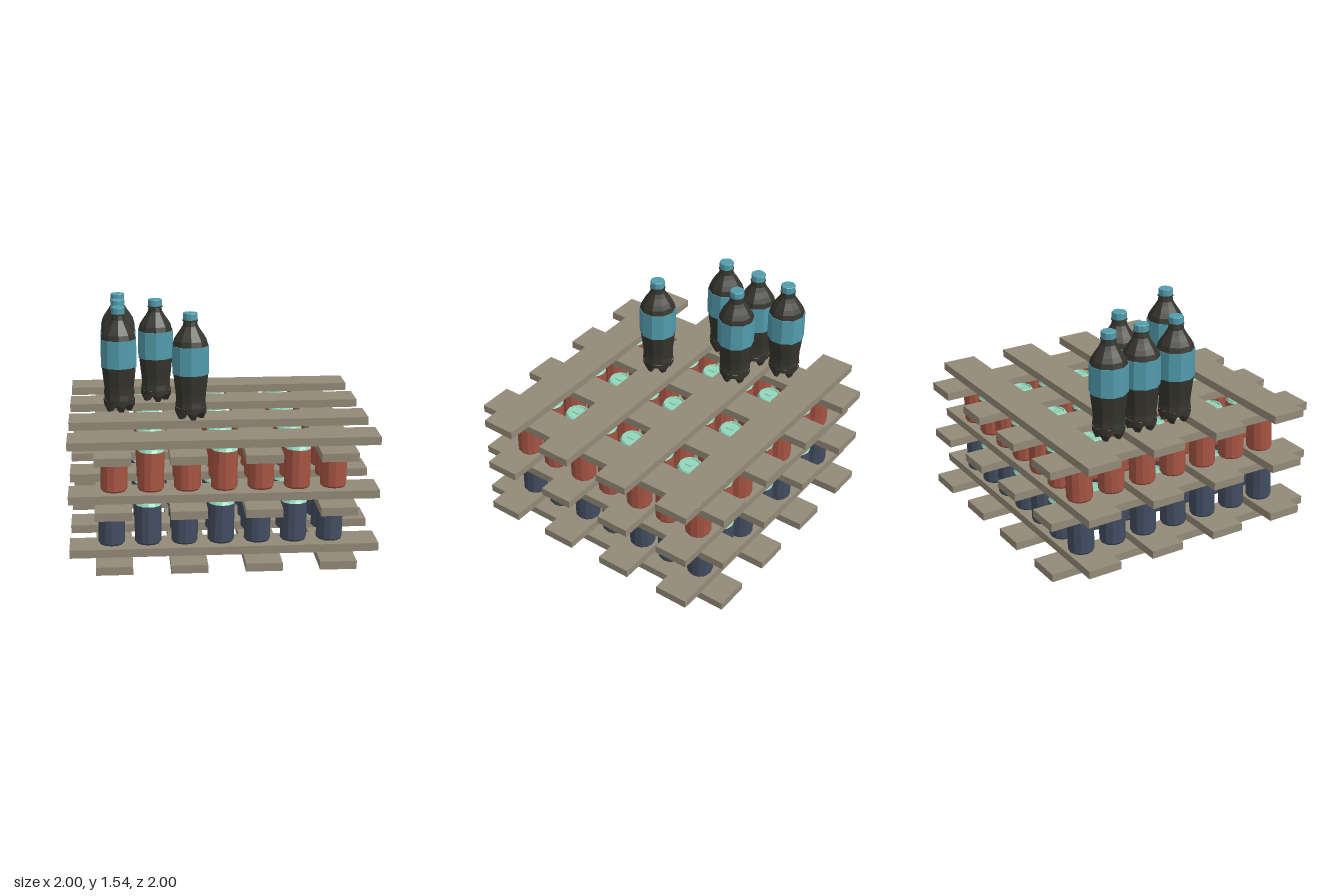
import * as THREE from 'three';

const mat = (name, color) => {
  const m = new THREE.MeshStandardMaterial({ color, flatShading: true });
  m.name = name;
  return m;
};

const lathe = (pts, sides) =>
  new THREE.LatheGeometry(pts.map(([r, y]) => new THREE.Vector2(r, y)), sides);

export function createModel() {
  const wood = mat('wood', 0x938a78);
  const redCan = mat('red can', 0xa65442);
  const blueCan = mat('blue can', 0x424d60);
  const mint = mat('mint lid', 0x90d5ba);
  const dark = mat('dark bottle', 0x35342d);
  const teal = mat('teal label and cap', 0x529cad);

  const add = (parent, name, geo, material, x = 0, y = 0, z = 0) => {
    const m = new THREE.Mesh(geo, material);
    m.name = name;
    m.position.set(x, y, z);
    parent.add(m);
    return m;
  };
  const group = (parent, name) => {
    const g = new THREE.Group();
    g.name = name;
    parent.add(g);
    return g;
  };

  const model = new THREE.Group();
  model.name = 'stackedPallets';

  // Pallets: four planks running front to back, four across on top
  const T = 0.054, W = 0.235;
  const crossGeo = new THREE.BoxGeometry(2, T, W);
  const runnerGeo = new THREE.BoxGeometry(W, T, 2);
  for (const y of [0, 0.36, 0.717]) {
    const pallet = group(model, 'pallet');
    for (const p of [-0.7125, -0.2375, 0.2375, 0.7125]) {
      add(pallet, 'lowerPlank', runnerGeo, wood, p, y + T / 2, 0);
      add(pallet, 'upperPlank', crossGeo, wood, 0, y + T * 1.5, p);
    }
  }

  // Cans: a leaning 7 by 7 grid on each of the lower pallets
  const canGeo = lathe([[0, 0], [0.078, 0], [0.086, 0.012], [0.086, 0.258]], 12);
  const lidGeo = lathe([[0.086, 0.258], [0.074, 0.278], [0.066, 0.278], [0.062, 0.268], [0, 0.268]], 12);
  const tabGeo = new THREE.BoxGeometry(0.024, 0.006, 0.05);
  const layers = [
    { y: 0.108, cx: -0.018, cz: -0.016, skin: blueCan },
    { y: 0.468, cx: 0.003, cz: -0.012, skin: redCan },
  ];
  for (const { y, cx, cz, skin } of layers) {
    const layer = group(model, 'canLayer');
    for (let i = -3; i <= 3; i++) {
      for (let j = -3; j <= 3; j++) {
        const can = group(layer, 'can');
        can.position.set(cx + i * 0.237, y, cz + j * 0.237);
        can.rotation.set(-0.02, 0, -0.02);
        add(can, 'canBody', canGeo, skin);
        add(can, 'canLid', lidGeo, mint);
        add(can, 'canTab', tabGeo, mint, 0, 0.272, 0.012);
      }
    }
  }

  // Bottle parts, measured from the base
  const SIDES = 10;
  const lowerGeo = lathe([[0.107, 0.085], [0.102, 0.12], [0.104, 0.17], [0.113, 0.24], [0.12, 0.31]], SIDES);
  const upperGeo = lathe([[0.122, 0.5], [0.113, 0.535], [0.095, 0.565], [0.068, 0.603], [0.052, 0.63],
    [0.046, 0.66], [0.053, 0.662], [0.053, 0.669], [0.043, 0.672]], SIDES);
  const labelGeo = lathe([[0.119, 0.31], [0.126, 0.31], [0.126, 0.5], [0.119, 0.5]], SIDES);
  const capGeo = lathe([[0.04, 0.67], [0.049, 0.67], [0.049, 0.712], [0.045, 0.716], [0, 0.716]], SIDES);

  // Base with five feet: points between the feet are lifted
  const baseGeo = lathe([[0, 0.06], [0.052, 0.004], [0.085, 0], [0.106, 0.045], [0.107, 0.085]], SIDES * 2);
  const pos = baseGeo.attributes.position;
  const lift = [0, 0.05, 0.055, 0.012, 0];
  for (let i = 0; i < pos.count; i++) {
    const column = Math.floor(i / 5);
    if (column % 4 > 1) pos.setY(i, pos.getY(i) + lift[i % 5]);
  }
  baseGeo.computeVertexNormals();

  // Five bottles standing on the top pallet
  const spots = [[-0.66, -0.475], [-0.66, -0.235], [-0.402, -0.235], [-0.66, 0.028], [-0.186, 0.267]];
  for (const [x, z] of spots) {
    const bottle = group(model, 'bottle');
    bottle.position.set(x, 0.82, z);
    add(bottle, 'bottleFeet', baseGeo, dark);
    add(bottle, 'bottleLower', lowerGeo, dark);
    add(bottle, 'bottleShoulder', upperGeo, dark);
    add(bottle, 'bottleLabel', labelGeo, teal);
    add(bottle, 'bottleCap', capGeo, teal);
  }

  return model;
}
